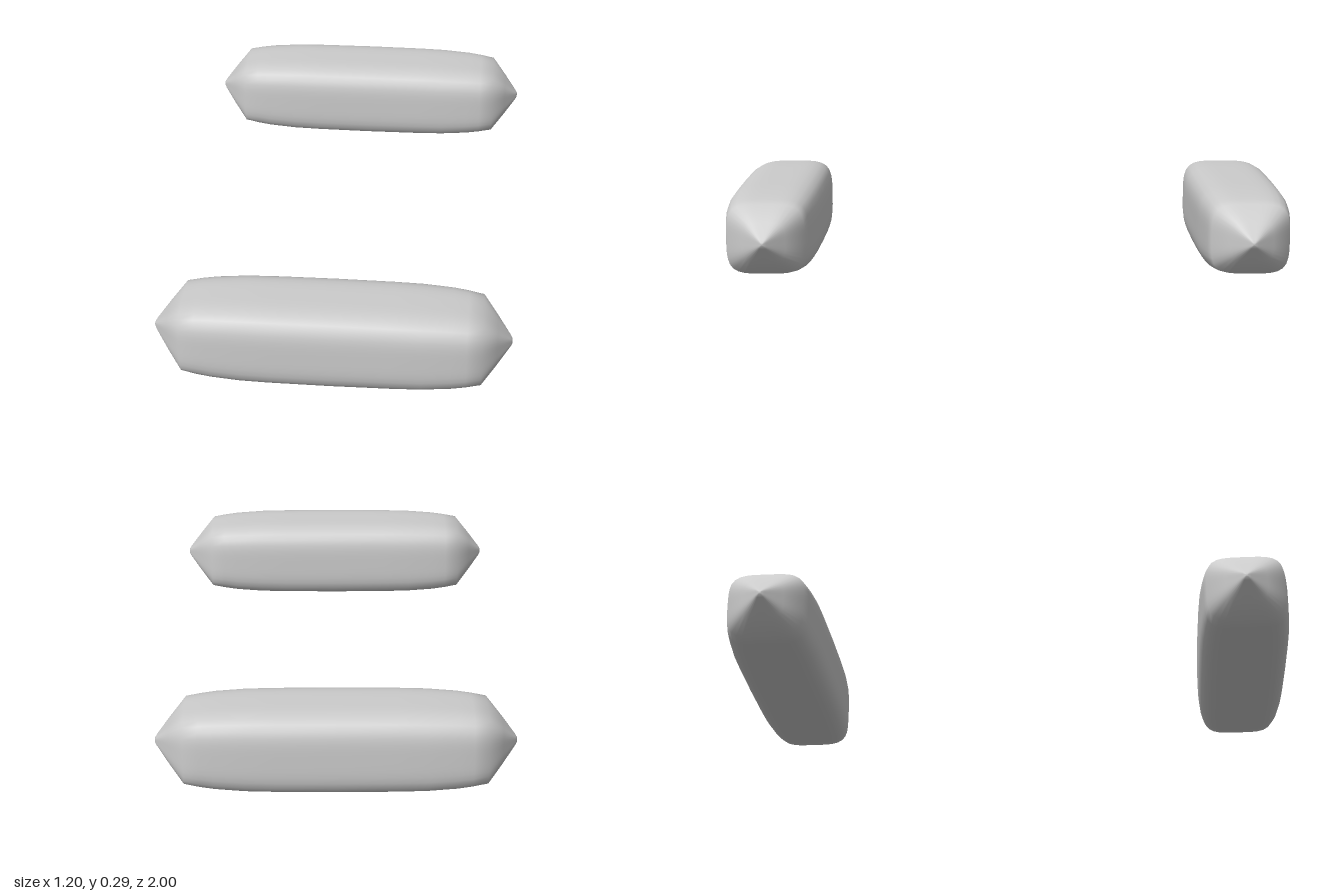
import * as THREE from 'three';

// Rounded-square cross-section as a superellipse, counted around the x axis
const SIDES = 48;
const POWER = 4.2;
// [x, half height, half depth] along one pod
const half = [[0, 0.145, 0.16], [0.2, 0.144, 0.159], [0.3, 0.142, 0.157], [0.4, 0.136, 0.15],
  [0.45, 0.13, 0.144], [0.5, 0.122, 0.135], [0.55, 0.067, 0.074], [0.594, 0.016, 0.016], [0.6, 0.006, 0.006]];
const stations = [...half.slice(1).reverse().map(([x, h, d]) => [-x, h, d]), ...half];

function podGeometry() {
  const pos = [], index = [];
  for (const [x, h, d] of stations) {
    for (let j = 0; j < SIDES; j++) {
      const a = (j / SIDES) * Math.PI * 2, c = Math.cos(a), s = Math.sin(a);
      const r = (Math.abs(c) ** POWER + Math.abs(s) ** POWER) ** (-1 / POWER);
      pos.push(x, h * r * c, d * r * s);
    }
  }
  for (let i = 0; i < stations.length - 1; i++) {
    for (let j = 0; j < SIDES; j++) {
      const k = (j + 1) % SIDES;
      const a = i * SIDES + j, b = i * SIDES + k, c = a + SIDES, e = b + SIDES;
      index.push(a, b, c, b, e, c);
    }
  }
  // Tip caps
  const last = (stations.length - 1) * SIDES, tip = pos.length / 3;
  pos.push(-0.6, 0, 0, 0.6, 0, 0);
  for (let j = 0; j < SIDES; j++) {
    const k = (j + 1) % SIDES;
    index.push(tip, k, j, tip + 1, last + j, last + k);
  }
  const g = new THREE.BufferGeometry();
  g.setAttribute('position', new THREE.Float32BufferAttribute(pos, 3));
  g.setIndex(index);
  g.computeVertexNormals();
  return g;
}

export function createModel() {
  const model = new THREE.Group();
  model.name = 'podPair';
  const grey = new THREE.MeshStandardMaterial({ color: 0xcccccc });
  grey.name = 'lightGrey';
  const geometry = podGeometry();
  // Two matching pods, front and back
  for (const [name, z] of [['frontPod', 0.84], ['backPod', -0.84]]) {
    const pod = new THREE.Mesh(geometry, grey);
    pod.name = name;
    pod.position.set(0, 0.147, z);
    model.add(pod);
  }
  return model;
}
